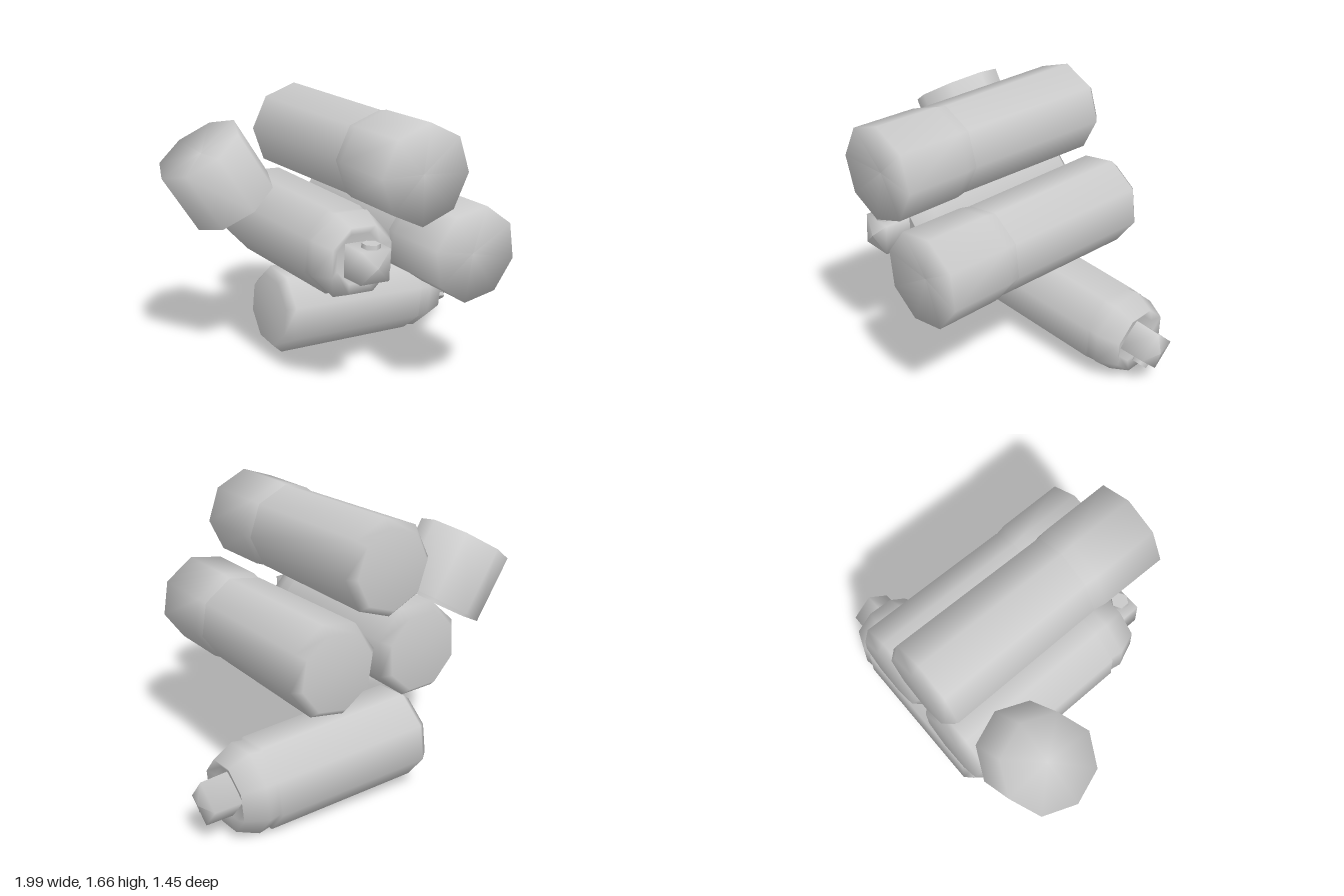
import * as THREE from 'three';

const material = new THREE.MeshStandardMaterial({ color: 0xcccccc, side: THREE.DoubleSide });

// Smooth-shaded turned part along +z; profile is a list of [radius, z].
function turned(name, profile, sides = 8) {
  const points = profile.map(([r, z]) => new THREE.Vector2(r, z));
  const geometry = new THREE.LatheGeometry(points, sides, Math.PI / sides);
  geometry.rotateX(Math.PI / 2);
  const mesh = new THREE.Mesh(geometry, material);
  mesh.name = name;
  return mesh;
}

// Can standing along z, base at -z
function makeBody() {
  return turned('canBody', [
    [0, -0.725], [0.225, -0.725], [0.27, -0.675], [0.26, 0.26], [0.243, 0.265],
    [0.255, 0.335], [0.2, 0.46], [0.15, 0.43], [0, 0.42],
  ]);
}

// Square push button with a hexagonal spray outlet on its +y side
function makeNozzle() {
  const nozzle = new THREE.Group();
  nozzle.name = 'nozzle';
  nozzle.add(turned('button', [[0.132, 0.41], [0.127, 0.59], [0, 0.62]], 4));
  const outlet = new THREE.Mesh(new THREE.CylinderGeometry(0.05, 0.055, 0.05, 6), material);
  outlet.name = 'sprayOutlet';
  outlet.position.set(0, 0.09, 0.535);
  nozzle.add(outlet);
  return nozzle;
}

// The can turned about its own axis, with its top either capped or open
function makeCan(name, roll, capped) {
  const can = new THREE.Group();
  can.name = name;
  const inner = new THREE.Group();
  inner.name = 'can';
  inner.rotation.z = roll;
  inner.add(makeBody());
  inner.add(capped
    ? turned('fittedCap', [[0.255, 0.25], [0.27, 0.33], [0.272, 0.725], [0, 0.7]])
    : makeNozzle());
  can.add(inner);
  return can;
}

export function createModel() {
  const model = new THREE.Group();
  model.name = 'sprayCanPile';
  const deg = THREE.MathUtils.degToRad;

  // Three cans lying front to back
  const stacked = [
    ['upperCappedCan', -0.045, 1.4, -26.5, true],
    ['lowerCappedCan', 0.295, 0.91, -36.5, true],
    ['openCan', -0.262, 0.908, -3, false],
  ];
  for (const [name, x, y, roll, capped] of stacked) {
    const can = makeCan(name, deg(roll), capped);
    can.position.set(x, y, 0);
    model.add(can);
  }

  // Can lying sideways underneath, nozzle towards +x
  const bottomCan = makeCan('bottomCan', deg(139), false);
  bottomCan.rotation.set(0, Math.PI / 2, deg(-3.7), 'ZYX');
  bottomCan.position.set(0.37, 0.273, -0.46);
  model.add(bottomCan);

  // Loose cap, its mouth facing down to the right
  const looseCap = new THREE.Group();
  looseCap.name = 'looseCap';
  const shell = turned('capShell', [[0.268, -0.197], [0.268, 0.197], [0, 0.165]]);
  shell.rotation.z = Math.PI / 8;
  looseCap.add(shell);
  looseCap.rotation.set(-Math.PI / 2, 0, deg(31.7), 'ZYX');
  looseCap.position.set(-0.667, 1.225, -0.46);
  model.add(looseCap);

  return model;
}
